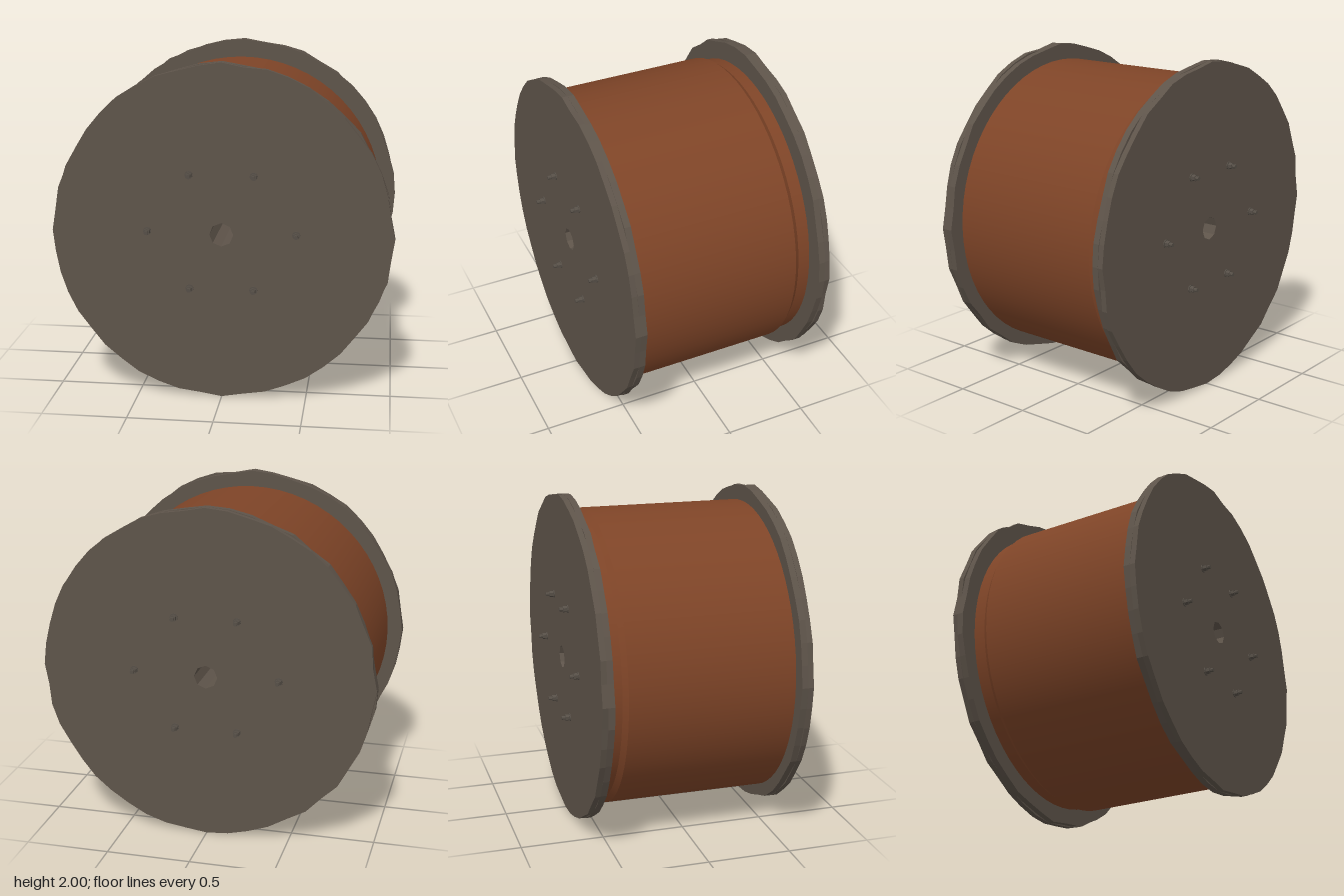
import * as THREE from 'three';

const HUB_Y = 1;          // height of the reel axis
const BORE = 0.07;        // radius of the axle hole

// Small seeded random generator
function seeded(seed) {
  let s = seed;
  return () => (s = (s * 16807) % 2147483647) / 2147483647;
}

// Worn disc outline with an octagonal axle hole
function discShape(seed) {
  const rnd = seeded(seed);
  const shape = new THREE.Shape();
  const sides = 48;
  const points = [];
  for (let i = 0; i < sides; i++) {
    const a = (i / sides) * Math.PI * 2;
    const r = i % 12 === 0 ? 1 : 0.982 + 0.017 * rnd();
    points.push(new THREE.Vector2(Math.cos(a) * r, Math.sin(a) * r));
  }
  shape.setFromPoints(points);
  const hole = [];
  for (let i = 0; i < 8; i++) {
    const a = (-i / 8) * Math.PI * 2;
    hole.push(new THREE.Vector2(Math.cos(a) * BORE, Math.sin(a) * BORE));
  }
  shape.holes.push(new THREE.Path(hole));
  return shape;
}

export function createModel() {
  const wood = new THREE.MeshStandardMaterial({ name: 'weatheredWood', color: 0x5e544a });
  const bore = new THREE.MeshStandardMaterial({ name: 'boreWood', color: 0x5e544a, side: THREE.BackSide, flatShading: true });
  const cable = new THREE.MeshStandardMaterial({ name: 'cableBrown', color: 0x7e4427 });
  const metal = new THREE.MeshStandardMaterial({ name: 'boltMetal', color: 0x564f47, flatShading: true });

  const model = new THREE.Group();
  model.name = 'cableReel';
  const add = (parent, name, geometry, material) => {
    const mesh = new THREE.Mesh(geometry, material);
    mesh.name = name;
    parent.add(mesh);
    return mesh;
  };

  // Flanges: two chipped layers of planks each
  const layers = [[0.547, 0.585, 11], [0.585, 0.618, 47]];
  for (const side of [1, -1]) {
    const flange = new THREE.Group();
    flange.name = side > 0 ? 'frontFlange' : 'backFlange';
    flange.position.y = HUB_Y;
    if (side < 0) flange.rotation.y = Math.PI;
    layers.forEach(([z0, z1, seed], i) => {
      const geo = new THREE.ExtrudeGeometry(discShape(seed + (side < 0 ? 500 : 0)), {
        depth: z1 - z0, bevelEnabled: false,
      });
      geo.translate(0, 0, z0);
      add(flange, i ? 'outerPlanks' : 'innerPlanks', geo, wood);
    });

    // Six bolts: washer, nut and threaded end
    for (const [x, y] of [[0.435, 0.01], [0.188, 0.35], [-0.188, 0.35],
      [-0.435, 0.01], [-0.188, -0.33], [0.188, -0.33]]) {
      const bolt = new THREE.Group();
      bolt.name = 'bolt';
      bolt.position.set(x, y, 0.618);
      for (const [name, r, sides, z0, z1] of [
        ['washer', 0.024, 12, -0.005, 0.006],
        ['nut', 0.019, 6, 0.006, 0.03],
        ['threadedEnd', 0.012, 8, 0.03, 0.052],
      ]) {
        const geo = new THREE.CylinderGeometry(r, r, z1 - z0, sides);
        geo.rotateX(Math.PI / 2);
        geo.translate(0, 0, (z0 + z1) / 2);
        add(bolt, name, geo, metal);
      }
      flange.add(bolt);
    }
    model.add(flange);
  }

  // Wound cable: full layer with a lower last turn near the back
  const section = (name, rFront, rBack, zFront, zBack) => {
    const geo = new THREE.CylinderGeometry(rFront, rBack, zFront - zBack, 64, 1, true);
    geo.rotateX(Math.PI / 2);
    geo.translate(0, HUB_Y - 0.007, (zFront + zBack) / 2);
    add(model, name, geo, cable);
  };
  section('cableWinding', 0.907, 0.907, 0.55, -0.445);
  section('cableStep', 0.907, 0.883, -0.445, -0.475);
  section('cableLastTurn', 0.883, 0.883, -0.475, -0.55);

  // Axle bore through the core
  const tube = new THREE.CylinderGeometry(BORE, BORE, 1.1, 8, 1, true);
  tube.rotateY(Math.PI / 2);
  tube.rotateX(Math.PI / 2);
  tube.translate(0, HUB_Y, 0);
  add(model, 'axleBore', tube, bore);

  return model;
}
